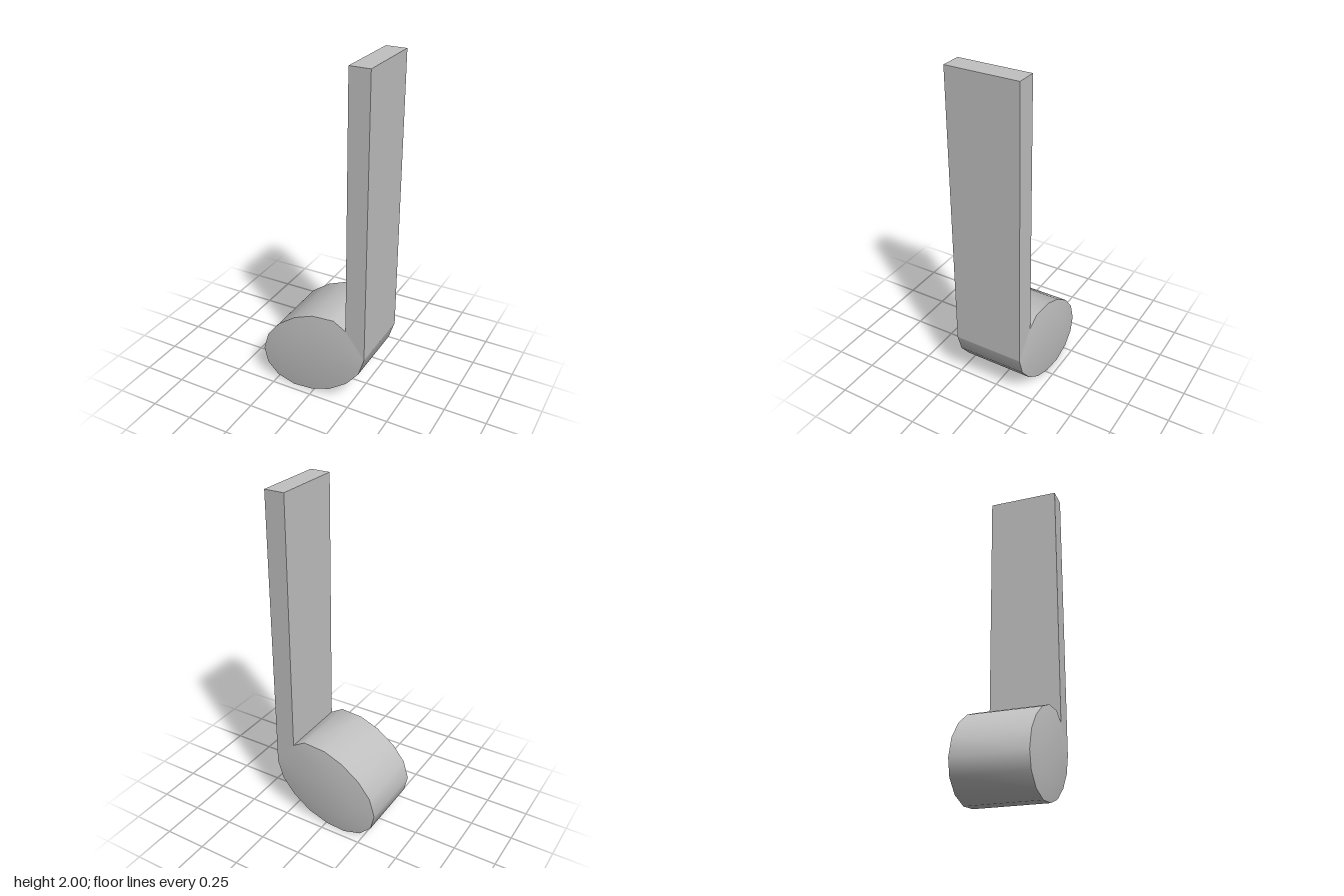
import * as THREE from 'three';
import { toCreasedNormals } from 'three/addons/utils/BufferGeometryUtils.js';

const DEPTH = 0.209; // half thickness at the rim
const BULGE = 0.223; // half thickness inside the note head

// Rim of the head, counter-clockwise from the stem's inner corner to its outer corner
const headRim = [
  [0.212, 0.495], [0.135, 0.541], [0, 0.531], [-0.115, 0.485], [-0.225, 0.405],
  [-0.3, 0.31], [-0.332, 0.2], [-0.31, 0.105], [-0.24, 0.035], [-0.13, 0.002],
  [-0.01, 0.012], [0.11, 0.055], [0.22, 0.135], [0.296, 0.23], [0.33, 0.34],
];
// Stem outline, from the outer corner up and over to the inner corner
const stemRim = [[0.33, 0.34], [0.33, 2], [0.212, 2], [0.212, 0.495]];

function finish(triangles) {
  const geometry = new THREE.BufferGeometry();
  geometry.setAttribute('position', new THREE.Float32BufferAttribute(triangles.flat(), 3));
  return toCreasedNormals(geometry, 0.7);
}

// Walls along an open outline, from front to back
function addWalls(tris, rim) {
  for (let i = 0; i < rim.length - 1; i++) {
    const [a, b] = [rim[i], rim[i + 1]];
    const [af, ab, bf, bb] = [[...a, DEPTH], [...a, -DEPTH], [...b, DEPTH], [...b, -DEPTH]];
    tris.push(af, ab, bf, bf, ab, bb);
  }
}

// A triangle on the front and its mirror on the back
function addCapTriangle(tris, a, b, c) {
  const flip = ([x, y, z]) => [x, y, -z];
  tris.push(a, b, c, flip(a), flip(c), flip(b));
}

function headGeometry() {
  const tris = [];
  addWalls(tris, headRim);
  // Slightly domed caps: a sloping ring, then a flat middle
  const centre = [0, 0.27];
  const inner = headRim.map(([x, y]) => [
    centre[0] + (x - centre[0]) * 0.62, centre[1] + (y - centre[1]) * 0.62, BULGE,
  ]);
  const n = headRim.length;
  for (let i = 0; i < n; i++) {
    const j = (i + 1) % n;
    const a = [...headRim[i], DEPTH];
    const b = [...headRim[j], DEPTH];
    addCapTriangle(tris, a, b, inner[j]);
    addCapTriangle(tris, a, inner[j], inner[i]);
    addCapTriangle(tris, inner[i], inner[j], [...centre, BULGE]);
  }
  return finish(tris);
}

function stemGeometry() {
  const tris = [];
  addWalls(tris, stemRim);
  const [a, b, c, d] = stemRim.map((p) => [...p, DEPTH]);
  addCapTriangle(tris, a, b, c);
  addCapTriangle(tris, a, c, d);
  return finish(tris);
}

export function createModel() {
  const grey = new THREE.MeshStandardMaterial({ color: 0xc0c0c0 });
  grey.name = 'grey';

  const group = new THREE.Group();
  group.name = 'musicalNote';

  const head = new THREE.Mesh(headGeometry(), grey);
  head.name = 'noteHead';
  const stem = new THREE.Mesh(stemGeometry(), grey);
  stem.name = 'noteStem';

  group.add(head, stem);
  return group;
}
